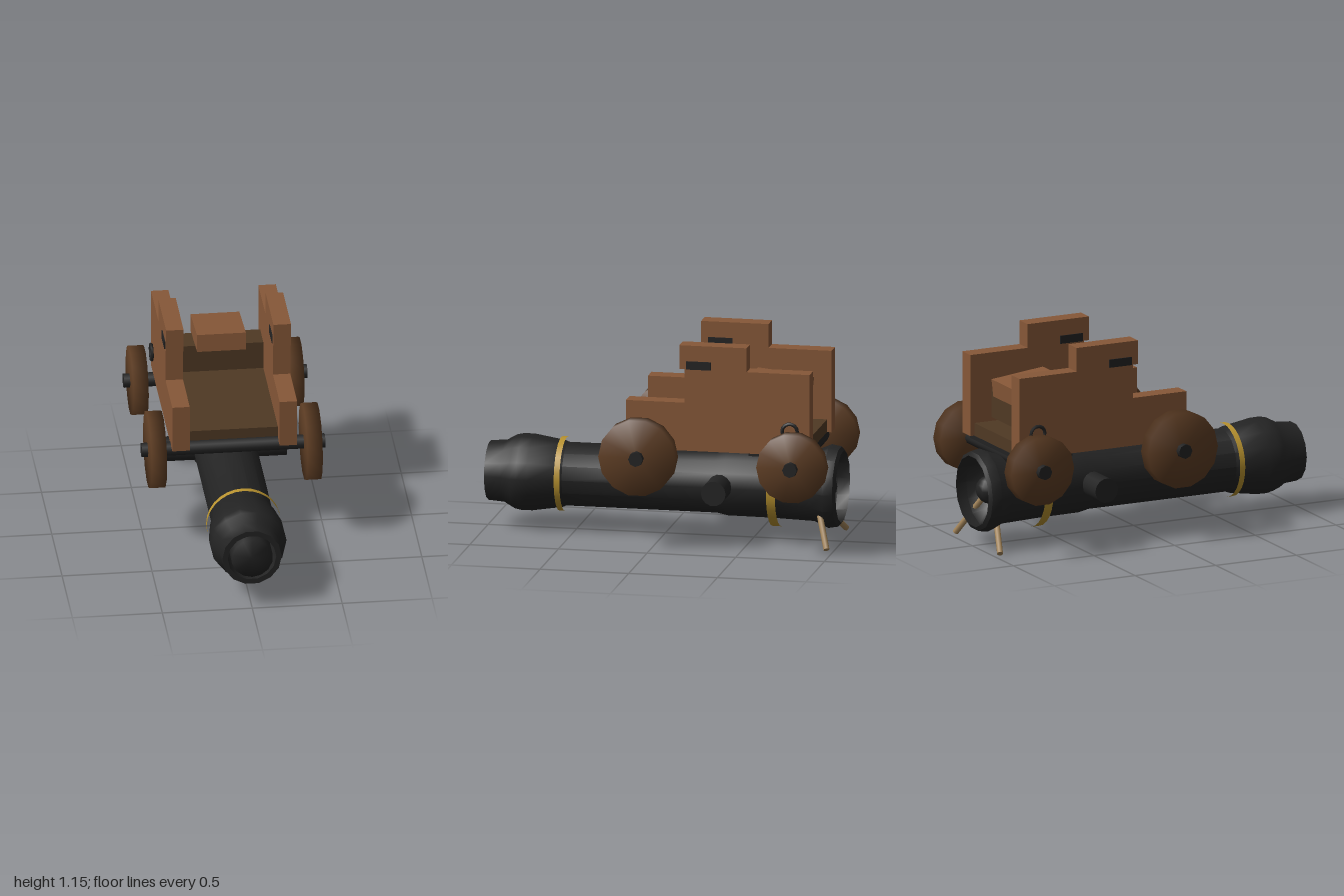
import * as THREE from 'three';
import { toCreasedNormals, mergeVertices } from 'three/addons/utils/BufferGeometryUtils.js';

const mat = (name, color) => {
  const m = new THREE.MeshStandardMaterial({ color });
  m.name = name;
  return m;
};

// Shares vertices across hard edges so the shading rolls over them
function soften(geo) {
  geo.deleteAttribute('normal');
  geo.deleteAttribute('uv');
  const g = mergeVertices(geo, 1e-4);
  g.computeVertexNormals();
  return g;
}

export function createModel() {
  const model = new THREE.Group();
  const iron = mat('black iron', 0x232323);
  const wood = mat('cheek wood', 0x875838);
  const darkWood = mat('dark wood', 0x4f3924);
  const wheelWood = mat('wheel wood', 0x5c3c23);
  const brass = mat('brass', 0xb8922f);
  const tan = mat('tan wood', 0xa18359);
  const AXIS = 0.315; // height of the barrel axis

  const add = (name, geo, material, x = 0, y = 0, z = 0) => {
    const m = new THREE.Mesh(geo, material);
    m.name = name;
    m.position.set(x, y, z);
    model.add(m);
    return m;
  };
  const box = (name, material, x0, x1, y0, y1, z0, z1) =>
    add(name, new THREE.BoxGeometry(x1 - x0, y1 - y0, z1 - z0), material,
      (x0 + x1) / 2, (y0 + y1) / 2, (z0 + z1) / 2);

  // Hollow barrel: outside from breech to muzzle, then back down the bore
  const profile = [
    [0.2, -1], [0.222, -0.985], [0.232, -0.93], [0.197, -0.85], [0.19, -0.62], [0.188, -0.36],
    [0.176, -0.3], [0.176, 0.55], [0.185, 0.57], [0.212, 0.74], [0.213, 0.8], [0.205, 0.84],
    [0.172, 0.9], [0.165, 0.99], [0.135, 0.99], [0.135, -0.8], [0.18, -0.85], [0.21, -0.93], [0.2, -1],
  ].map(([r, z]) => new THREE.Vector2(r, z));
  const barrelGeo = new THREE.LatheGeometry(profile, 14, Math.PI / 14);
  barrelGeo.rotateX(Math.PI / 2);
  add('barrel', toCreasedNormals(barrelGeo, 0.6), iron, 0, AXIS, 0);

  // Plug in the muzzle, knob and ring in the breech cup
  const plugGeo = soften(new THREE.CylinderGeometry(0.115, 0.115, 0.3, 14));
  add('muzzlePlug', plugGeo.rotateX(Math.PI / 2), iron, 0, AXIS, 0.85);
  add('breechKnob', new THREE.SphereGeometry(0.08, 12, 8), iron, 0, AXIS, -0.89);
  add('breechRing', new THREE.TorusGeometry(0.125, 0.014, 6, 14), tan, 0, AXIS, -0.84);

  // Thin brass bands
  for (const [z, r, w] of [[0.572, 0.206, 0.032], [-0.64, 0.235, 0.05]]) {
    const g = new THREE.CylinderGeometry(r, r, w, 28, 1, true).rotateX(Math.PI / 2);
    add('band', g, brass, 0, AXIS, z);
  }

  // Trunnions
  const trunnion = add('trunnions', new THREE.CylinderGeometry(0.07, 0.07, 0.68, 14), iron, 0, 0.32, -0.34);
  trunnion.rotation.z = Math.PI / 2;

  // Sticks splayed out of the breech cup
  const sticks = [
    [[-0.02, 0.21, -0.87], [-0.27, 0.018, -0.965]],
    [[0.05, 0.32, -0.85], [0.272, 0.018, -0.965]],
    [[0, 0.34, -0.86], [0.02, 0.46, -0.9]],
  ];
  for (const [a, b] of sticks) {
    const path = new THREE.LineCurve3(new THREE.Vector3(...a), new THREE.Vector3(...b));
    const len = path.getLength();
    const mid = path.getPoint(0.5);
    const s = add('stick', new THREE.CylinderGeometry(0.017, 0.017, len, 8), tan, mid.x, mid.y, mid.z);
    s.quaternion.setFromUnitVectors(new THREE.Vector3(0, 1, 0), path.getTangent(0.5));
  }

  // Stepped cheeks, drawn as (z, y) and extruded across x
  const outline = [
    [0.15, 0.56], [0.15, 0.832], [-0.18, 0.832], [-0.18, 1.022], [-0.15, 1.022], [-0.15, 1.157],
    [-0.53, 1.157], [-0.53, 1.022], [-0.885, 1.022], [-0.885, 0.56],
  ].map(([z, y]) => new THREE.Vector2(-z, y));
  const cheekGeo = new THREE.ExtrudeGeometry(new THREE.Shape(outline), { depth: 0.097, bevelEnabled: false });
  cheekGeo.rotateY(Math.PI / 2);
  add('leftCheek', cheekGeo, wood, 0.25);
  add('rightCheek', cheekGeo, wood, -0.347);

  // Bed, cross block and tilted wedge
  box('bed', darkWood, -0.25, 0.25, 0.56, 0.632, -0.86, 0.06);
  box('crossBlock', darkWood, -0.245, 0.245, 0.655, 0.815, -0.755, -0.6);
  const wedge = add('wedge', new THREE.BoxGeometry(0.272, 0.1, 0.32), wood, 0, 0.87, -0.647);
  wedge.rotation.x = -0.11;
  box('rearPlate', iron, -0.3, 0.3, 0.535, 0.56, -0.86, -0.53);

  // Iron fittings on the cheeks
  for (const s of [1, -1]) {
    const c = 0.299 * s;
    box('cheekStrap', iron, c - 0.054, c + 0.054, 1.022, 1.068, -0.328, -0.19);
    const ring = add('cheekRing', new THREE.TorusGeometry(0.043, 0.01, 6, 14), iron, 0.358 * s, 0.698, -0.775);
    ring.rotation.y = Math.PI / 2;
  }

  // Axles and wheels
  for (const [end, y, z, r] of [['front', 0.534, 0.064, 0.217], ['rear', 0.513, -0.805, 0.195]]) {
    const axle = add(end + 'Axle', new THREE.CylinderGeometry(0.041, 0.041, 1.02, 8), iron, 0, y, z);
    axle.rotation.z = Math.PI / 2;
    const wheelGeo = soften(new THREE.CylinderGeometry(r, r, 0.085, 14)).rotateZ(Math.PI / 2);
    for (const s of [1, -1]) add(end + 'Wheel', wheelGeo, wheelWood, 0.433 * s, y, z);
  }
  return model;
}
